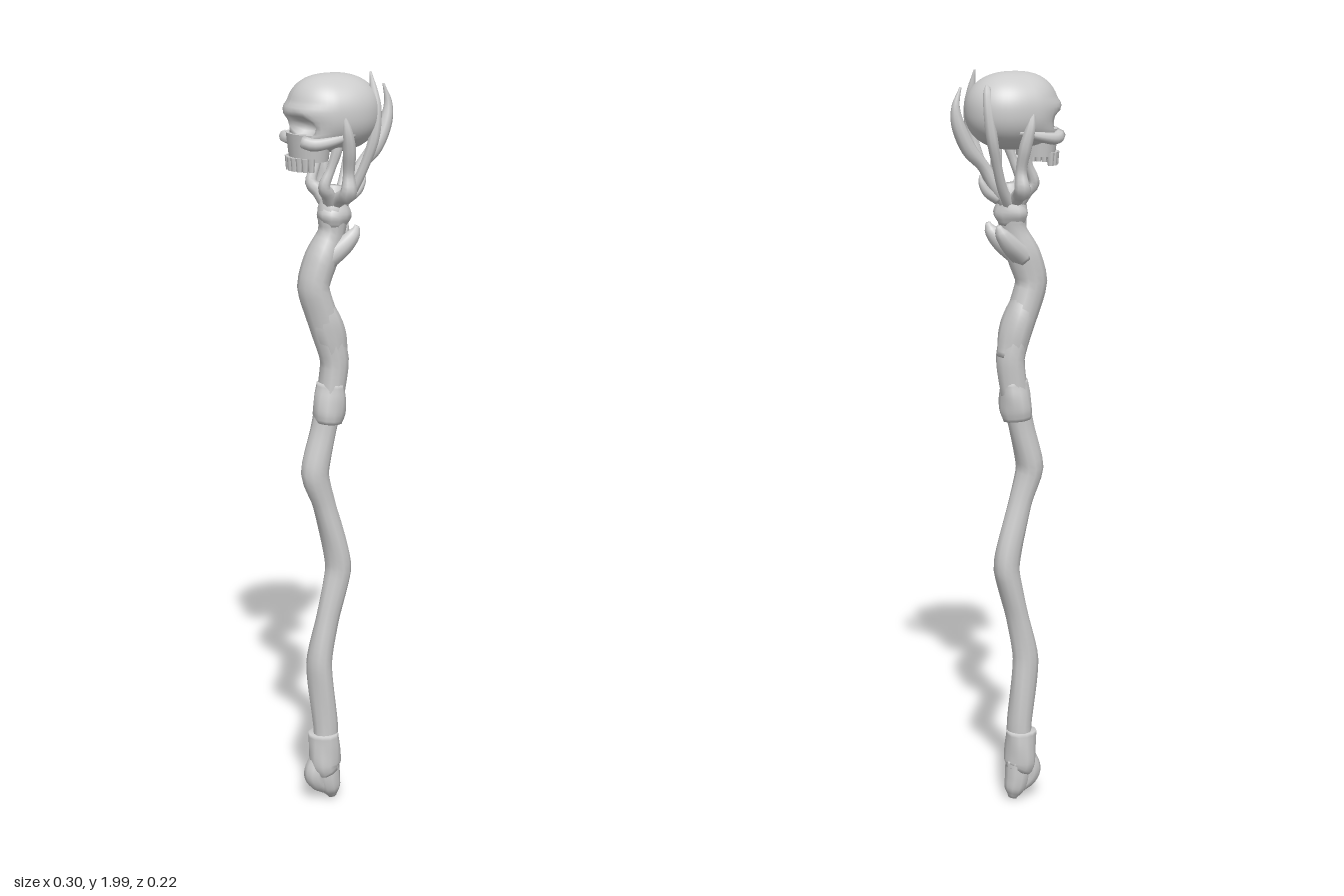
import * as THREE from 'three';

const bone = new THREE.MeshStandardMaterial({ color: 0xcccccc });
bone.name = 'pale grey bone';

// Closed tube of varying radius through points [x, y, z, radius]; low tension gives sharper bends
function limb(name, pts, sides = 10, steps = 6, knobble = 0, tension = 0.5) {
  const path = new THREE.CatmullRomCurve3(pts.map(p => new THREE.Vector3(p[0], p[1], p[2])), false, 'catmullrom', tension);
  const radii = new THREE.SplineCurve(pts.map((p, i) => new THREE.Vector2(i, p[3])));
  const n = (pts.length - 1) * steps;
  const frames = path.computeFrenetFrames(n);
  const pos = [], index = [];
  for (let i = -1; i <= n + 1; i++) {
    const k = Math.min(Math.max(i, 0), n), u = k / n;
    const c = path.getPointAt(u);
    const r = i === k ? Math.max(radii.getPoint(path.getUtoTmapping(u)).y, 0.002) : 0;
    for (let j = 0; j < sides; j++) {
      const a = j / sides * Math.PI * 2;
      const rr = r * (1 + knobble * Math.sin(3 * a + k * 0.35));
      const v = c.clone().addScaledVector(frames.normals[k], Math.cos(a) * rr)
        .addScaledVector(frames.binormals[k], Math.sin(a) * rr);
      pos.push(v.x, v.y, v.z);
      if (i <= n) {
        const p = (i + 1) * sides + j, q = (i + 1) * sides + (j + 1) % sides;
        index.push(p, q, p + sides, q, q + sides, p + sides);
      }
    }
  }
  const g = new THREE.BufferGeometry();
  g.setAttribute('position', new THREE.Float32BufferAttribute(pos, 3));
  g.setIndex(index);
  g.computeVertexNormals();
  const m = new THREE.Mesh(g, bone);
  m.name = name;
  return m;
}

// Cranium and face from one sphere; the face looks along -x
function skull() {
  const group = new THREE.Group();
  group.name = 'skull';
  const g = new THREE.SphereGeometry(1, 48, 36);
  const p = g.attributes.position;
  const dent = (y, z, cy, cz, ry, rz) => Math.exp(-Math.pow(((y - cy) / ry) ** 2 + ((z - cz) / rz) ** 2, 2));
  for (let i = 0; i < p.count; i++) {
    const a = p.getX(i), b = p.getY(i), c = p.getZ(i);
    const face = THREE.MathUtils.smoothstep(-a, 0.1, 0.8);
    // boxier toward the face, rounder at the back
    let x = -0.018 + 0.123 * Math.sign(a) * Math.pow(Math.abs(a), a < 0 ? 0.75 : 0.9);
    let y = 1.897 + (b > 0 ? 0.098 : 0.1) * Math.sign(b) * Math.pow(Math.abs(b), 0.9);
    let z = 0.104 * c * (1 - 0.08 * face);
    // lower face hangs below the cranium
    if (b < 0) y -= 0.035 * face * -b;
    // brow and cheekbones
    x -= 0.008 * face * dent(y, 0, 1.905, 0, 0.018, 1);
    z *= 1 + 0.1 * face * dent(y, 0, 1.835, 0, 0.02, 1);
    // eye sockets and nose
    x += 0.04 * face * (dent(y, z, 1.868, 0.042, 0.024, 0.026) + dent(y, z, 1.868, -0.042, 0.024, 0.026));
    x += 0.025 * face * dent(y, z, 1.825, 0, 0.02, 0.014);
    p.setXYZ(i, x, y, z);
  }
  g.computeVertexNormals();
  const cranium = new THREE.Mesh(g, bone);
  cranium.name = 'cranium';
  group.add(cranium);

  // Upper jaw with a row of teeth around its front arc
  const jaw = new THREE.Mesh(new THREE.CylinderGeometry(0.07, 0.06, 0.07, 20), bone);
  jaw.name = 'upperJaw';
  jaw.scale.x = 0.8;
  jaw.position.set(-0.086, 1.815, 0);
  group.add(jaw);
  for (let i = -4; i <= 4; i++) {
    const a = i * 0.32;
    const tooth = new THREE.Mesh(new THREE.CylinderGeometry(0.01, 0.007, 0.034, 6), bone);
    tooth.name = 'tooth';
    tooth.position.set(-0.09 - 0.046 * Math.cos(a), 1.773, 0.056 * Math.sin(a));
    group.add(tooth);
  }
  // Cheek arches
  for (const s of [-1, 1]) {
    group.add(limb('cheekbone', [[-0.128, 1.835, 0.055 * s, 0.016], [-0.105, 1.828, 0.077 * s, 0.016],
      [-0.06, 1.835, 0.088 * s, 0.013], [0, 1.85, 0.085 * s, 0.009]], 8, 4));
  }
  return group;
}

export function createModel() {
  const staff = new THREE.Group();
  staff.name = 'staff';

  // Crooked shaft
  staff.add(limb('shaft', [
    [-0.05, 0.1, 0.005, 0.032], [-0.046, 0.22, 0.005, 0.034], [-0.062, 0.41, 0.005, 0.035],
    [-0.038, 0.54, 0.004, 0.031], [-0.005, 0.67, 0.003, 0.035], [-0.014, 0.74, 0.003, 0.034],
    [-0.048, 0.86, 0.003, 0.031], [-0.075, 0.95, 0.003, 0.037], [-0.048, 1.06, 0.003, 0.034],
    [-0.03, 1.14, 0.003, 0.036], [-0.018, 1.25, 0.003, 0.038], [-0.045, 1.35, 0.003, 0.041],
    [-0.074, 1.45, 0.003, 0.042], [-0.05, 1.53, 0.003, 0.044], [-0.025, 1.59, 0.003, 0.035],
    [-0.022, 1.65, 0.003, 0.04], [-0.015, 1.71, 0.003, 0.02]], 12, 5, 0.05, 0.3));

  // Flared cuffs and joint swellings
  staff.add(limb('lowerCuff', [[-0.04, 0.09, 0.005, 0.036], [-0.048, 0.11, 0.005, 0.043],
    [-0.049, 0.16, 0.005, 0.043], [-0.05, 0.205, 0.005, 0.041]], 12, 4, 0.05));
  staff.add(limb('middleCuff', [[-0.037, 1.085, 0.003, 0.038], [-0.034, 1.11, 0.003, 0.043],
    [-0.03, 1.15, 0.003, 0.042], [-0.026, 1.19, 0.003, 0.036]], 12, 4, 0.05));
  staff.add(limb('upperJoint', [[-0.015, 1.25, 0.003, 0.035], [-0.03, 1.315, 0.003, 0.042],
    [-0.045, 1.36, 0.003, 0.043], [-0.062, 1.41, 0.003, 0.037]], 12, 4, 0.06));
  staff.add(limb('neckCollar', [[-0.022, 1.605, 0.003, 0.034], [-0.02, 1.635, 0.003, 0.045],
    [-0.018, 1.675, 0.003, 0.032]], 12, 4, 0.08));

  // Knuckled foot
  staff.add(limb('footTip', [[-0.04, 0.12, 0.004, 0.034], [-0.038, 0.07, 0.004, 0.034],
    [-0.03, 0.035, 0.004, 0.028], [-0.024, 0.01, 0.004, 0.012]], 10, 5));
  staff.add(limb('footHeel', [[-0.065, 0.13, 0.004, 0.026], [-0.078, 0.09, 0.004, 0.029],
    [-0.07, 0.062, 0.004, 0.026], [-0.045, 0.038, 0.004, 0.018]], 10, 5));

  // Mirrored short prongs below the neck
  for (const s of [-1, 1]) {
    staff.add(limb('prong', [[-0.045, 1.52, 0.012 * s, 0.03], [-0.002, 1.555, 0.026 * s, 0.026],
      [0.025, 1.585, 0.033 * s, 0.018], [0.034, 1.607, 0.034 * s, 0.007]], 8, 5));
  }

  // Rear claw
  staff.add(limb('rearClaw', [[-0.015, 1.65, 0, 0.022], [0.025, 1.70, 0, 0.02], [0.06, 1.755, 0, 0.016],
    [0.1, 1.80, 0, 0.02], [0.13, 1.86, -0.002, 0.018], [0.139, 1.91, -0.004, 0.011],
    [0.126, 1.96, -0.005, 0.003]], 9, 5));
  staff.add(limb('rearSpur', [[0.02, 1.67, 0, 0.014], [0.05, 1.69, 0, 0.013],
    [0.066, 1.715, 0, 0.009], [0.07, 1.735, 0, 0.003]], 8, 4));

  // Claws hugging the cranium on both sides
  for (const s of [-1, 1]) {
    staff.add(limb('backClaw', [[-0.01, 1.65, 0.01 * s, 0.017], [0.022, 1.70, 0.032 * s, 0.014],
      [0.045, 1.76, 0.05 * s, 0.013], [0.065, 1.83, 0.064 * s, 0.015], [0.074, 1.90, 0.062 * s, 0.014],
      [0.072, 1.95, 0.05 * s, 0.011], [0.068, s > 0 ? 1.998 : 1.965, 0.038 * s, 0.003]], 8, 5));
    staff.add(limb('sideClaw', [[-0.02, 1.66, 0.01 * s, 0.02], [-0.018, 1.685, 0.045 * s, 0.018],
      [-0.012, 1.70, 0.078 * s, 0.022], [-0.01, 1.75, 0.076 * s, 0.015], [-0.015, 1.81, 0.09 * s, 0.017],
      [-0.025, 1.86, 0.099 * s, 0.013], [-0.035, 1.91, 0.096 * s, 0.004]], 8, 5));
    staff.add(limb('frontClaw', [[-0.028, 1.65, 0.008 * s, 0.018], [-0.045, 1.69, 0.028 * s, 0.018],
      [-0.062, 1.715, 0.04 * s, 0.016], [-0.045, 1.76, 0.045 * s, 0.012], [-0.03, 1.81, 0.05 * s, 0.014],
      [-0.03, 1.85, 0.055 * s, 0.006]], 8, 5));
  }

  staff.add(skull());
  return staff;
}
